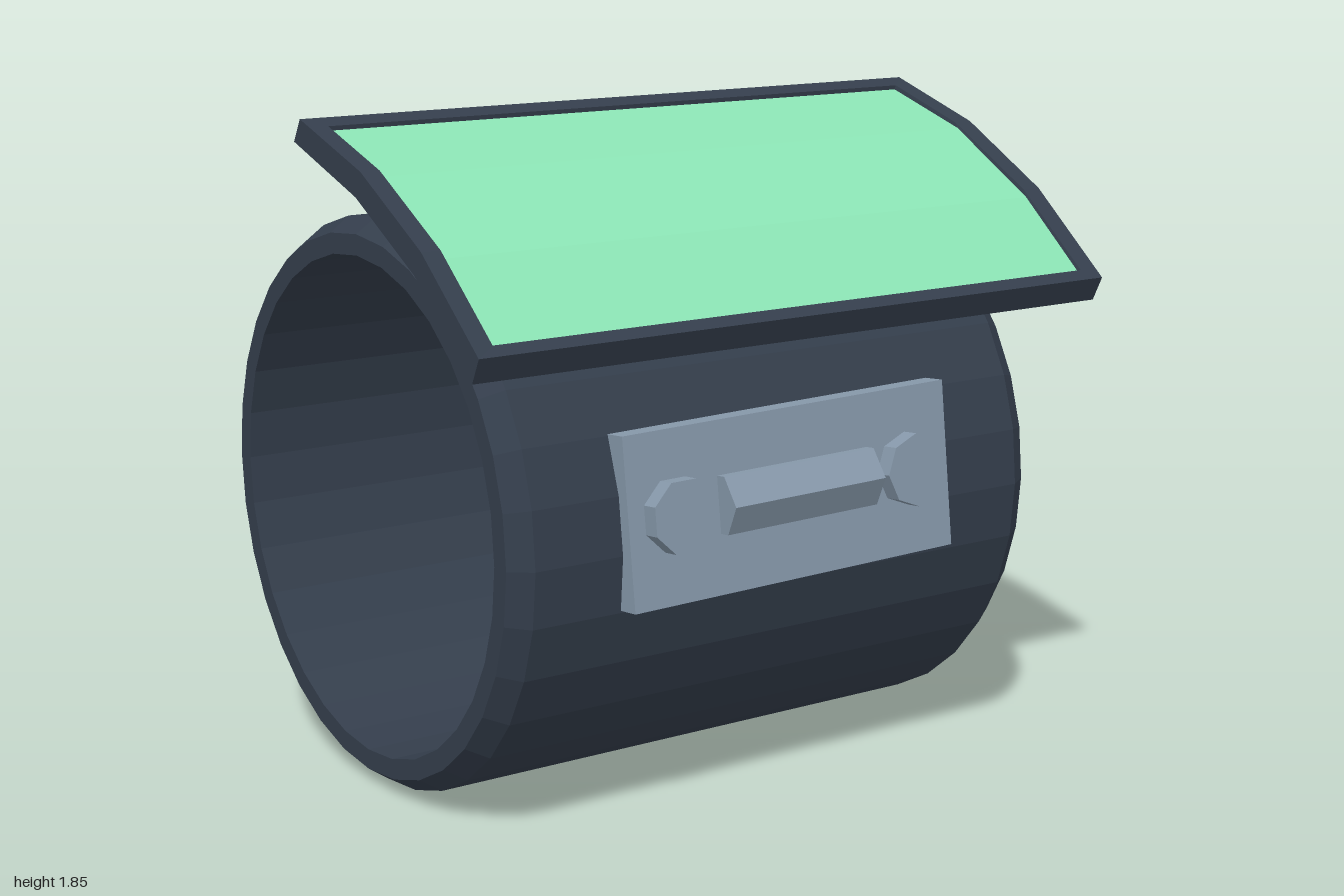
import * as THREE from 'three';

const mat = (color) => new THREE.MeshStandardMaterial({ color, flatShading: true });
const DARK = mat(0x343e4c), GREEN = mat(0x8ae2b3), STEEL = mat(0x8799ab);

function add(parent, name, geometry, material) {
  const mesh = new THREE.Mesh(geometry, material);
  mesh.name = name;
  parent.add(mesh);
  return mesh;
}

// Mirrored outline: [z, y] stations front to rear at -x, then back at +x
const ring = (x, stations) => [
  ...stations.map(([z, y]) => [-x, y, z]),
  ...stations.slice().reverse().map(([z, y]) => [x, y, z]),
];

function quads(list) {
  const pos = list.flatMap(([a, b, c, d]) => [a, b, c, a, c, d].flat());
  const g = new THREE.BufferGeometry();
  g.setAttribute('position', new THREE.Float32BufferAttribute(pos, 3));
  g.computeVertexNormals();
  return g;
}

// Walls between successive outlines, lowest first
function walls(rings) {
  const out = [];
  for (let k = 0; k + 1 < rings.length; k++) {
    const a = rings[k], b = rings[k + 1];
    a.forEach((p, i) => {
      const j = (i + 1) % a.length;
      out.push([p, b[i], b[j], a[j]]);
    });
  }
  return out;
}

// Surface filling an outline, facing up or down
function cap(r, up) {
  const out = [], n = r.length - 1;
  for (let i = 0; i < r.length / 2 - 1; i++) {
    const q = [r[i], r[n - i], r[n - i - 1], r[i + 1]];
    out.push(up ? q : q.reverse());
  }
  return out;
}

export function createModel() {
  const model = new THREE.Group();
  model.name = 'wristDevice';

  // Thick cuff with chamfered outer rims, axis along x
  const profile = [[0.69, -0.85], [0.747, -0.85], [0.788, -0.79], [0.788, 0.79],
    [0.747, 0.85], [0.69, 0.85], [0.69, -0.85]].map(([r, h]) => new THREE.Vector2(r, h));
  const cuff = add(model, 'cuff', new THREE.LatheGeometry(profile, 32), DARK);
  cuff.rotation.z = -Math.PI / 2;
  cuff.position.set(0, 0.788, -0.05);

  // Curved display: underside sinking gently to the post, edges, flat rim, shallow recessed screen
  const belly = ring(0.55, [[0.798, 1.301], [0.56, 1.465], [0.18, 1.665], [-0.093, 1.783]]);
  const lower = ring(1, [[0.8, 1.3], [0.53, 1.522], [0.235, 1.679], [-0.096, 1.785]]);
  const upper = ring(1, [[0.833, 1.367], [0.565, 1.585], [0.265, 1.746], [-0.06, 1.847]]);
  const rim = ring(0.945, [[0.805, 1.389], [0.565, 1.584], [0.265, 1.745], [-0.008, 1.83]]);
  const inset = ring(0.942, [[0.798, 1.383], [0.578, 1.565], [0.278, 1.731], [-0.01, 1.818]]);
  const display = new THREE.Group();
  display.name = 'display';
  model.add(display);
  add(display, 'displayFrame',
    quads([...walls([belly, lower, upper, rim, inset]), ...cap(belly, false)]), DARK);
  add(display, 'displayScreen', quads(cap(inset, true)), GREEN);

  // Tapered post between cuff and display
  const foot = ring(0.26, [[0.5, 1.322], [0.093, 1.532]]);
  const head = ring(0.16, [[0.575, 1.475], [0.17, 1.685]]);
  add(model, 'displayPost',
    quads([...walls([foot, head]), ...cap(head, true), ...cap(foot, false)]), DARK);

  // Front plate, slightly tilted; its local z = 0 is the front face
  const panel = new THREE.Group();
  panel.name = 'controlPanel';
  panel.position.set(-0.009, 0.884, 0.765);
  panel.rotation.set(-0.105, 0, 0.019);
  model.add(panel);
  add(panel, 'plate', new THREE.BoxGeometry(1.045, 0.456, 0.07), STEEL).position.z = -0.035;

  // Hexagonal grip bar with a ridge facing forward
  const bar = add(panel, 'gripBar', new THREE.CylinderGeometry(0.088, 0.088, 0.49, 6), STEEL);
  bar.rotation.z = Math.PI / 2;
  bar.position.set(0.003, 0.008, -0.013);

  // Octagonal bolts on either side
  for (const s of [-1, 1]) {
    const bolt = add(panel, s < 0 ? 'rightBolt' : 'leftBolt',
      new THREE.CylinderGeometry(0.1, 0.1, 0.06, 8), STEEL);
    bolt.rotation.set(Math.PI / 2, s < 0 ? Math.PI / 8 : 0, 0);
    bolt.position.set(s * 0.38, 0.006, 0.02);
  }
  return model;
}
